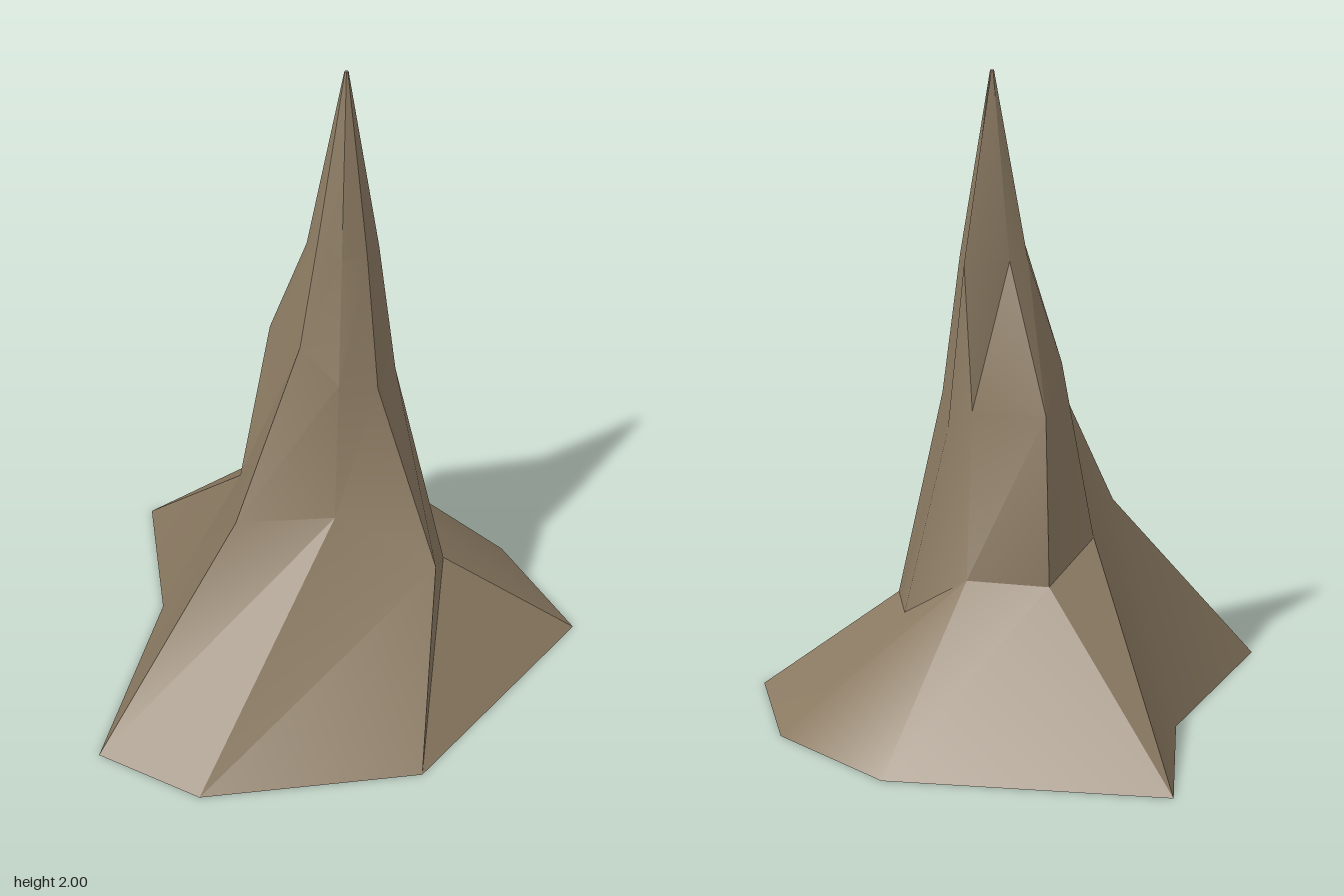
import * as THREE from 'three';
import { toCreasedNormals } from 'three/addons/utils/BufferGeometryUtils.js';

const SIDES = 8;
const AXIS = { x: 0.085, z: -0.15 };

// Ridge points [x, y, z] of each ring, going round from the front towards +x
const RINGS = [
  // foot
  [[0.085, 0, 0.84], [0.43, 0, 0.72], [0.8, 0, 0.145], [0.63, 0, -0.72],
    [0.18, 0, -0.845], [-0.28, 0, -0.72], [-0.8, 0, -0.05], [-0.35, 0, 0.25]],
  // lower slope
  [[0.085, 0.62, 0.28], [0.295, 0.65, 0.06], [0.53, 0.49, -0.15], [0.37, 0.33, -0.35],
    [0.17, 0.33, -0.425], [-0.11, 0.5, -0.35], [-0.26, 0.49, -0.15], [-0.14, 0.58, 0.075]],
  // shoulder
  [[0.085, 1.15, 0.02], [0.205, 1.05, -0.03], [0.25, 1.01, -0.15], [0.203, 1.01, -0.268],
    [0.085, 0.92, -0.31], [-0.04, 1.0, -0.29], [-0.24, 1.01, -0.15], [-0.09, 1.13, -0.01]],
  // neck
  [[0.085, 1.5, -0.05], [0.155, 1.44, -0.08], [0.19, 1.44, -0.15], [0.16, 1.44, -0.225],
    [0.085, 1.44, -0.24], [0.005, 1.44, -0.29], [-0.02, 1.44, -0.15], [0.005, 1.44, -0.075]],
];

// An eight-sided column whose vertices are moved onto the ridge points
function spireGeometry() {
  const geometry = new THREE.CylinderGeometry(1, 1, RINGS.length, SIDES, RINGS.length);
  const pos = geometry.attributes.position;
  for (let i = 0; i < pos.count; i++) {
    const x = pos.getX(i), z = pos.getZ(i);
    const ring = Math.round(pos.getY(i) + RINGS.length / 2);
    const turn = Math.round(Math.atan2(x, z) / (2 * Math.PI) * SIDES);
    const side = (turn + SIDES) % SIDES;
    if (ring === RINGS.length) {
      pos.setXYZ(i, AXIS.x + x * 0.006, 2, AXIS.z + z * 0.006); // tip
    } else if (Math.hypot(x, z) < 0.5) {
      pos.setXYZ(i, AXIS.x, 0, AXIS.z); // middle of the underside
    } else {
      pos.setXYZ(i, ...RINGS[ring][side]);
    }
  }
  return toCreasedNormals(geometry, THREE.MathUtils.degToRad(32));
}

export function createModel() {
  const model = new THREE.Group();
  model.name = 'stalagmite';

  const rock = new THREE.MeshStandardMaterial({ color: 0x8b7a62 });
  rock.name = 'brown rock';

  const spire = new THREE.Mesh(spireGeometry(), rock);
  spire.name = 'rockSpire';
  model.add(spire);
  return model;
}
